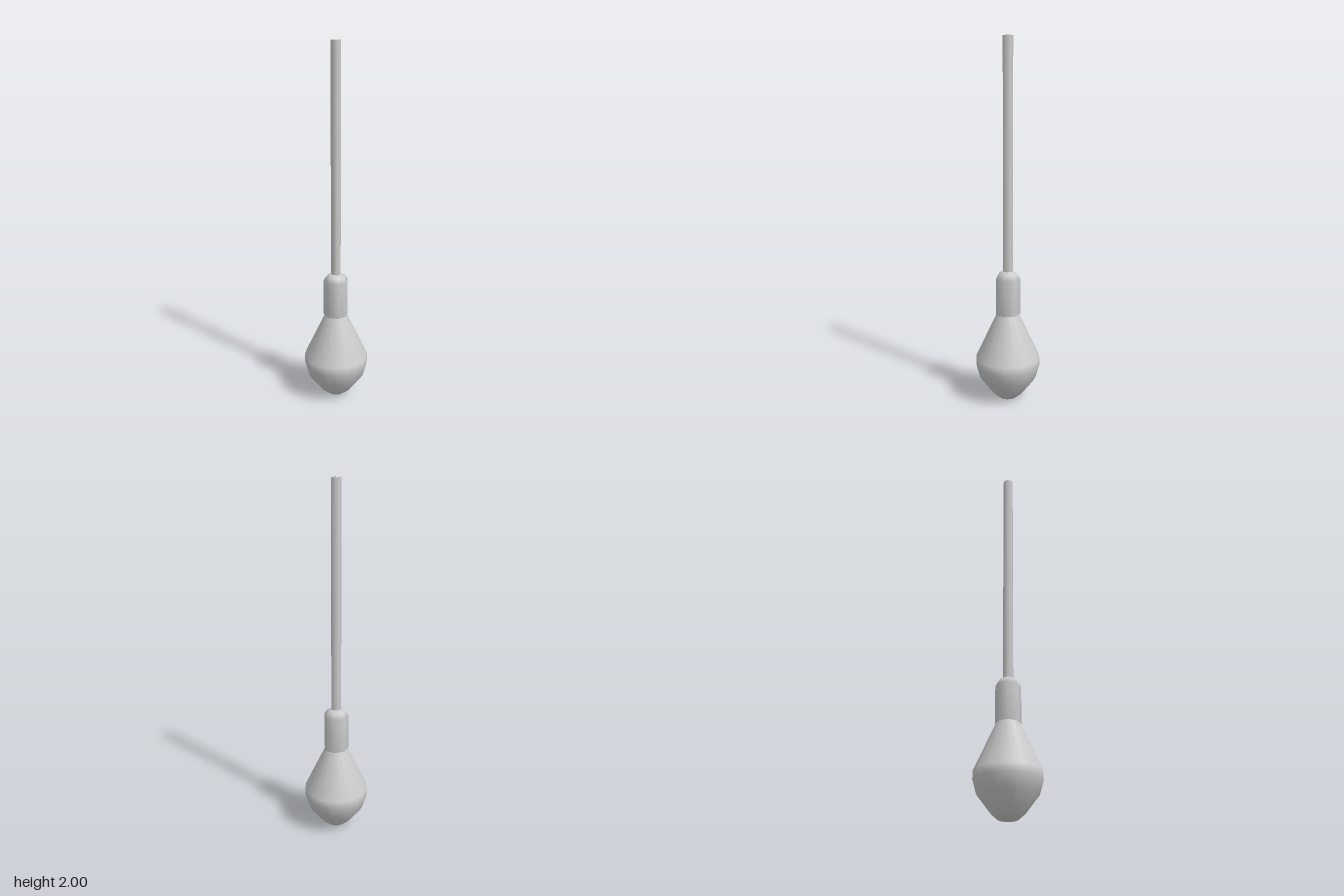
import * as THREE from 'three';

// Smooth revolved part; profile runs bottom to top as [radius, height]
function turned(name, profile, sides) {
  const points = profile.map(([r, y]) => new THREE.Vector2(r, y));
  // Start at the back so that odd-sided parts have a corner at -z
  const geometry = new THREE.LatheGeometry(points, sides, Math.PI);
  const material = new THREE.MeshStandardMaterial({ color: 0xcccccc, side: THREE.DoubleSide });
  const mesh = new THREE.Mesh(geometry, material);
  mesh.name = name;
  return mesh;
}

export function createModel() {
  const lamp = new THREE.Group();
  lamp.name = 'hangingBulb';

  // Pear-shaped glass bulb
  lamp.add(turned('bulb', [
    [0, 0], [0.05, 0.004], [0.085, 0.033], [0.158, 0.128],
    [0.178, 0.2], [0.178, 0.245], [0.06, 0.5],
  ], 20));

  // Seven-sided socket with a rounded shoulder
  lamp.add(turned('socket', [
    [0.055, 0.497], [0.07, 0.497], [0.07, 0.7], [0.052, 0.728], [0.026, 0.743], [0, 0.743],
  ], 7));

  // Straight hanging cord, capped at the top
  lamp.add(turned('cord', [[0.028, 0.735], [0.028, 2], [0, 2]], 7));

  return lamp;
}
